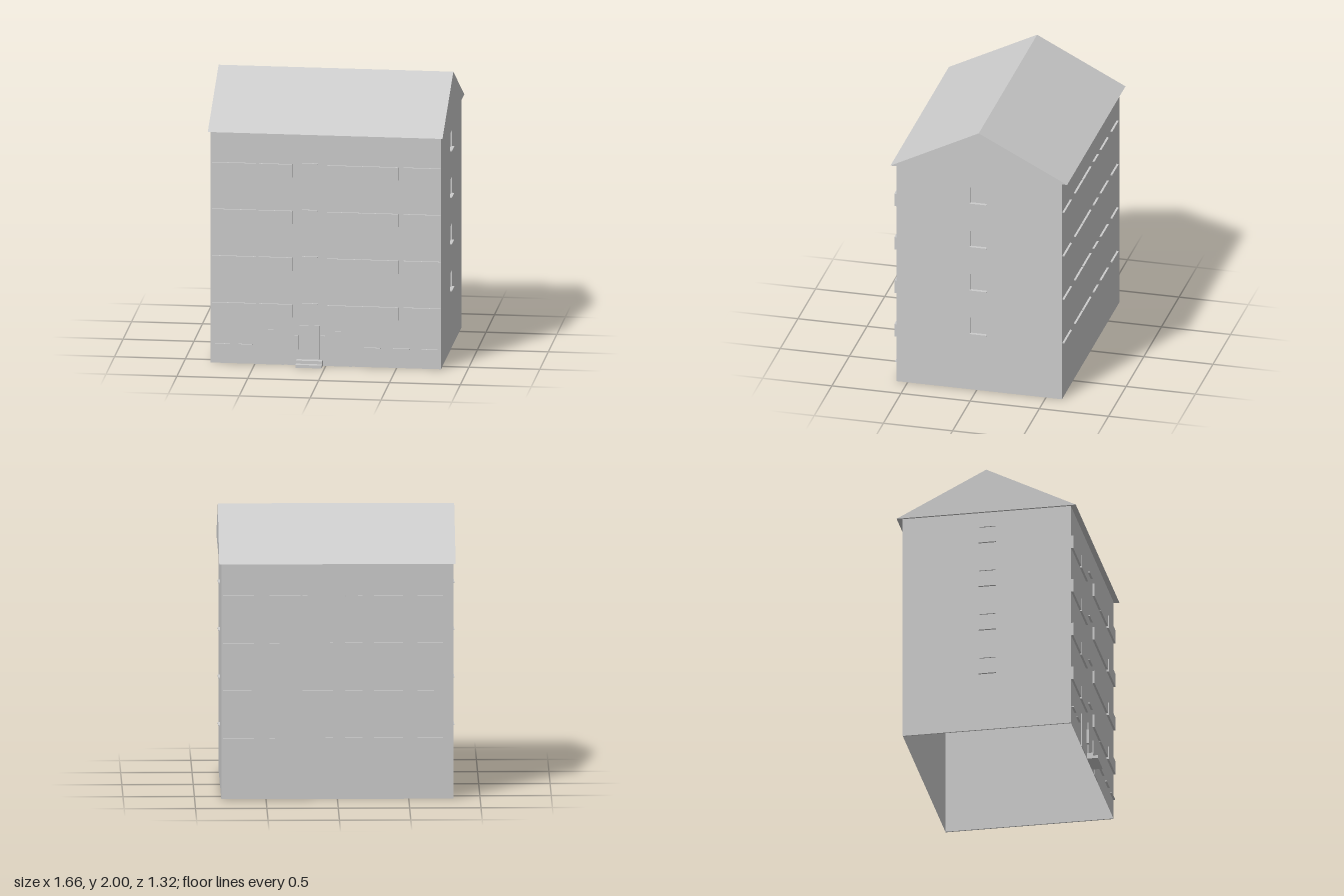
import * as THREE from 'three';

const HALF_W = 0.813, FRONT = 0.582, BACK = -0.616, EAVE = 1.675;
const FLOORS = [0.435, 0.773, 1.11, 1.447];

const grey = new THREE.MeshStandardMaterial({ color: 0xcccccc, flatShading: true });
const greyDouble = new THREE.MeshStandardMaterial({ color: 0xcccccc, flatShading: true, side: THREE.DoubleSide });

function add(parent, name, geometry, material = grey) {
  const mesh = new THREE.Mesh(geometry, material);
  mesh.name = name;
  parent.add(mesh);
  return mesh;
}

// Box given by its limits on each axis
function block(parent, name, [x0, x1], [y0, y1], [z0, z1]) {
  const mesh = add(parent, name, new THREE.BoxGeometry(x1 - x0, y1 - y0, z1 - z0));
  mesh.position.set((x0 + x1) / 2, (y0 + y1) / 2, (z0 + z1) / 2);
  return mesh;
}

function group(parent, name) {
  const g = new THREE.Group();
  g.name = name;
  parent.add(g);
  return g;
}

// Shallow window openings in the gable-end walls
const WINDOW = { z: -0.013, w: 0.115, h: 0.12, recess: 0.01 };

function sideWall(parent, side) {
  const g = group(parent, side > 0 ? 'leftWall' : 'rightWall');
  const shape = new THREE.Shape([
    new THREE.Vector2(BACK, 0), new THREE.Vector2(FRONT, 0),
    new THREE.Vector2(FRONT, EAVE), new THREE.Vector2(BACK, EAVE),
  ]);
  const z0 = WINDOW.z - WINDOW.w / 2, z1 = WINDOW.z + WINDOW.w / 2;
  for (const y of FLOORS) {
    shape.holes.push(new THREE.Path([
      new THREE.Vector2(z0, y), new THREE.Vector2(z0, y + WINDOW.h),
      new THREE.Vector2(z1, y + WINDOW.h), new THREE.Vector2(z1, y),
    ]));
  }
  const geo = new THREE.ExtrudeGeometry(shape, { depth: WINDOW.recess, bevelEnabled: false });
  geo.rotateY(-Math.PI / 2); // shape x becomes z, depth becomes -x
  geo.translate(side > 0 ? HALF_W : -HALF_W + WINDOW.recess, 0, 0);
  add(g, 'wall', geo, greyDouble);

  for (const y of FLOORS) {
    const pane = add(g, 'windowPane', new THREE.PlaneGeometry(WINDOW.w, WINDOW.h), greyDouble);
    pane.rotation.y = side * Math.PI / 2;
    pane.position.set(side * (HALF_W - WINDOW.recess), y + WINDOW.h / 2, WINDOW.z);
    const xs = [side * HALF_W, side * (HALF_W + 0.015)].sort((a, b) => a - b);
    block(g, 'windowSill', xs, [y - 0.006, y], [-0.075, 0.05]);
  }
}

export function createModel() {
  const model = new THREE.Group();
  model.name = 'apartmentBlock';

  // Wall shell, open underneath
  const walls = group(model, 'walls');
  for (const [name, z, turn] of [['frontWall', FRONT, 0], ['backWall', BACK, Math.PI]]) {
    const wall = add(walls, name, new THREE.PlaneGeometry(HALF_W * 2, EAVE), greyDouble);
    wall.position.set(0, EAVE / 2, z);
    wall.rotation.y = turn;
  }
  sideWall(walls, 1);
  sideWall(walls, -1);

  // Gable roof as a closed prism
  const gable = new THREE.Shape([
    new THREE.Vector2(-0.62, EAVE), new THREE.Vector2(0.657, EAVE), new THREE.Vector2(0.018, 2),
  ]);
  const roof = new THREE.ExtrudeGeometry(gable, { depth: 1.656, bevelEnabled: false });
  roof.rotateY(Math.PI / 2);
  roof.translate(-0.828, 0, 0);
  add(model, 'roof', roof);

  // Front panels and stairwell sills on every upper floor
  const panels = group(model, 'frontPanels');
  const sills = group(model, 'sills');
  const panelSpans = [[-0.8, -0.492], [-0.472, -0.236], [0.01, 0.25], [0.252, 0.515], [0.548, 0.81]];
  const backSpans = [[0.585, 0.8], [0.26, 0.475], [0.03, 0.245], [-0.175, -0.055], [-0.458, -0.255], [-0.74, -0.56]];
  for (const y of FLOORS) {
    for (const span of panelSpans) block(panels, 'frontPanel', span, [y - 0.092, y + 0.004], [FRONT, 0.597]);
    block(sills, 'stairwellSill', [-0.167, -0.055], [y + 0.009, y + 0.015], [FRONT, 0.597]);
    for (const span of backSpans) block(sills, 'backSill', span, [y - 0.006, y], [-0.631, BACK]);
  }

  // Ground floor sills
  for (const span of [[-0.78, -0.675], [-0.615, -0.515], [0.27, 0.385], [0.475, 0.59], [0.675, 0.79]]) {
    block(sills, 'groundFloorSill', span, [0.136, 0.142], [FRONT, 0.597]);
  }

  // Entrance: doors, side plaques and steps
  const entrance = group(model, 'entrance');
  block(entrance, 'mainDoor', [-0.185, -0.045], [0.045, 0.29], [FRONT, 0.591]);
  block(entrance, 'serviceDoor', [-0.42, -0.295], [0, 0.25], [FRONT, 0.587]);
  block(entrance, 'serviceDoor', [0.06, 0.185], [0, 0.25], [FRONT, 0.587]);
  for (const span of [[-0.218, -0.19], [-0.035, -0.004]]) block(entrance, 'plaque', span, [0.115, 0.218], [FRONT, 0.598]);
  block(entrance, 'lowerStep', [-0.205, -0.02], [0, 0.021], [FRONT, 0.66]);
  block(entrance, 'upperStep', [-0.205, -0.02], [0.021, 0.043], [FRONT, 0.625]);

  return model;
}
